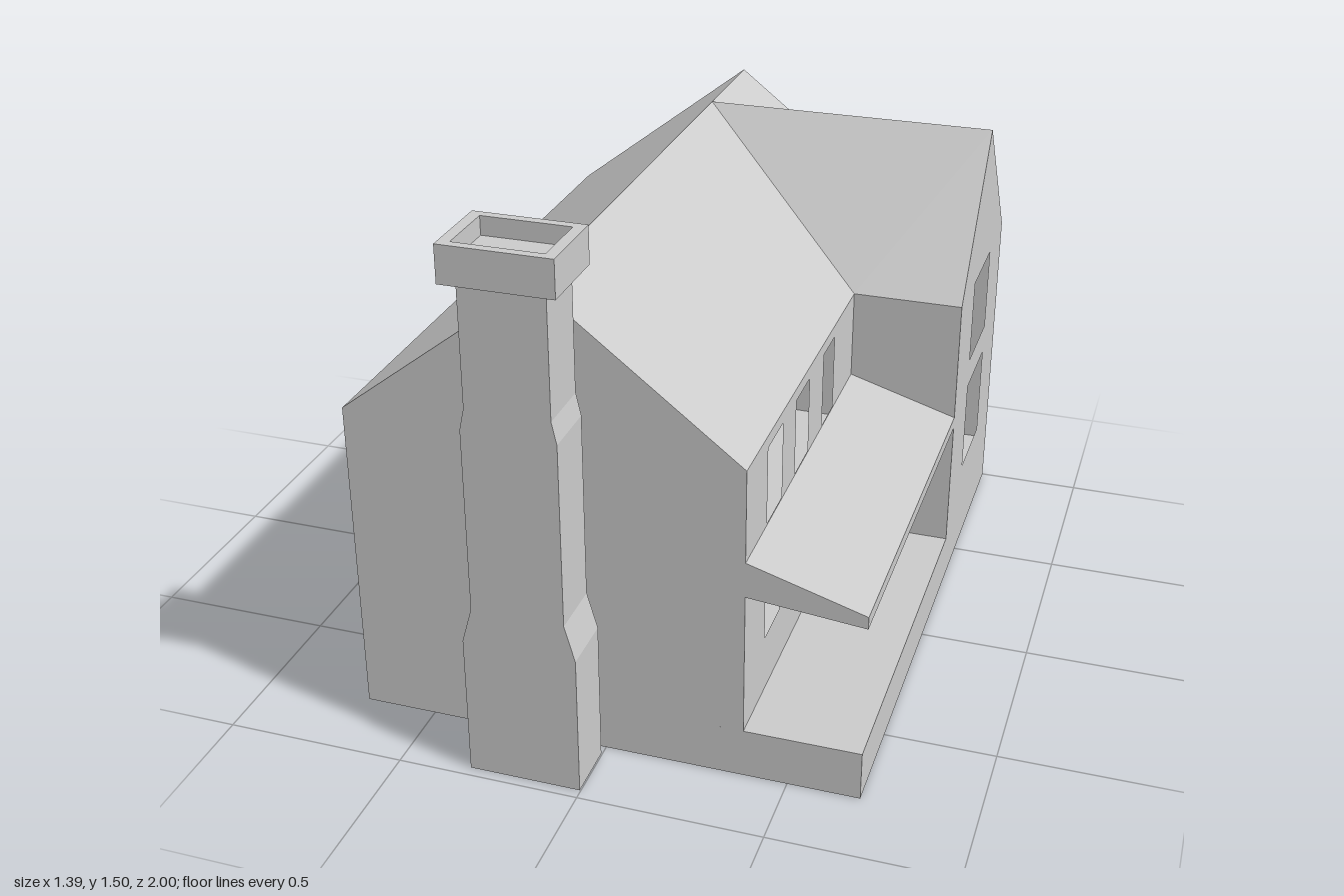
import * as THREE from 'three';

const BASE = 0.14, EAVE = 0.91, RIDGE = 1.33;         // heights
const W = -0.7, MID = -0.16, E = 0.38, WING = 0.695;  // x of outer wall, main ridge, porch wall, wing end
const BACK = -1, WRIDGE = -0.66, WFRONT = -0.32, FRONT = 0.78; // z of back, wing ridge, wing front, house front

const thin = new THREE.MeshStandardMaterial({ color: 0xcccccc, flatShading: true, side: THREE.DoubleSide });
const solid = new THREE.MeshStandardMaterial({ color: 0xcccccc, flatShading: true });

const rect = (a, b, c, d) => [[a, c], [b, c], [b, d], [a, d]];
const toVecs = (pts) => pts.map(([u, v]) => new THREE.Vector2(u, v));

export function createModel() {
  const house = new THREE.Group();
  house.name = 'house';

  const add = (name, geometry, material = solid, parent = house) => {
    const mesh = new THREE.Mesh(geometry, material);
    mesh.name = name;
    parent.add(mesh);
    return mesh;
  };

  // Flat outline with openings, placed in space by a mapping rule
  const panel = (name, outline, place, holes = []) => {
    const shape = new THREE.Shape(toVecs(outline));
    holes.forEach((h) => shape.holes.push(new THREE.Path(toVecs(h))));
    const geo = new THREE.ShapeGeometry(shape);
    const pos = geo.attributes.position;
    for (let i = 0; i < pos.count; i++) pos.setXYZ(i, ...place(pos.getX(i), pos.getY(i)));
    geo.computeVertexNormals();
    return add(name, geo, thin);
  };
  const facingFront = (z) => (u, v) => [u, v, z];
  const facingBack = (z) => (u, v) => [-u, v, z];
  const facingPlusX = (x) => (u, v) => [x, v, -u];
  const facingMinusX = (x) => (u, v) => [x, v, u];

  // Foundation, also the indoor floor and the porch deck
  const foundation = add('foundation', new THREE.BoxGeometry(WING - W, BASE, FRONT - BACK));
  foundation.position.set((W + WING) / 2, BASE / 2, (FRONT + BACK) / 2);

  // Walls without openings
  panel('frontGableWall', [[W, BASE], [E, BASE], [E, EAVE], [MID, RIDGE], [W, EAVE]], facingFront(FRONT));
  panel('backWall', [[-WING, BASE], [-W, BASE], [-W, EAVE], [-MID, RIDGE], [-E, EAVE], [-WING, EAVE]],
    facingBack(BACK));
  panel('plainSideWall', rect(BACK, FRONT, BASE, EAVE), facingMinusX(W));
  panel('wingFrontWall', rect(E, WING, BASE, EAVE), facingFront(WFRONT));

  // Porch wall: three windows above, two windows and a door below
  const porchOpenings = [rect(-0.055, 0.135, 0.18, 0.525)];
  [[-0.59, -0.45], [-0.32, -0.185], [-0.03, 0.09]].forEach(([a, b], i) => {
    porchOpenings.push(rect(a, b, 0.655, 0.875));
    if (i < 2) porchOpenings.push(rect(a, b, 0.305, 0.525));
  });
  panel('porchWall', rect(-FRONT, -WFRONT, BASE, EAVE), facingPlusX(E), porchOpenings);

  // Wing gable with two windows
  panel('wingGableWall',
    [[-WFRONT, BASE], [-BACK, BASE], [-BACK, EAVE], [-WRIDGE, RIDGE], [-WFRONT, EAVE]],
    facingPlusX(WING),
    [rect(0.535, 0.785, 0.645, 0.895), rect(0.535, 0.785, 0.28, 0.555)]);

  // Roof slopes, drawn in plan as (x, -z) and lifted by their pitch
  const rise = RIDGE - EAVE;
  const mainRoof = (half) => (u, v) => [u, RIDGE - rise * Math.abs(u - MID) / half, -v];
  const wingRoof = (u, v) => [u, RIDGE - rise * Math.abs(-v - WRIDGE) / (WFRONT - WRIDGE), -v];
  panel('plainRoofSlope', rect(W, MID, -FRONT, -BACK), mainRoof(MID - W));
  panel('porchRoofSlope', [[MID, -FRONT], [E, -FRONT], [E, -WFRONT], [MID, -WRIDGE]], mainRoof(E - MID));
  panel('backRoofSlope', [[MID, -WRIDGE], [E, -BACK], [MID, -BACK]], mainRoof(E - MID));
  for (const [name, z] of [['wingFrontRoof', WFRONT], ['wingBackRoof', BACK]]) {
    panel(name, [[MID, -WRIDGE], [WING, -WRIDGE], [WING, -z], [E, -z]], wingRoof);
  }

  // Sloping porch canopy
  const canopy = new THREE.Shape(toVecs([[E, 0.55], [WING, 0.52], [WING, 0.555], [E, 0.65]]));
  add('porchCanopy', new THREE.ExtrudeGeometry(canopy, { depth: FRONT - WFRONT, bevelEnabled: false }))
    .position.z = WFRONT;

  // Chimney: stepped stack and hollow cap
  const chimney = new THREE.Group();
  chimney.name = 'chimney';
  chimney.position.x = -0.156;
  house.add(chimney);
  const side = [[0.153, 0], [0.153, 0.4], [0.125, 0.5], [0.125, 1.01], [0.112, 1.07], [0.112, 1.42]];
  const mirrored = side.map(([x, y]) => [-x, y]).reverse();
  add('chimneyStack', new THREE.ExtrudeGeometry(new THREE.Shape(toVecs([...side, ...mirrored])),
    { depth: 0.16, bevelEnabled: false }), solid, chimney).position.z = 0.81;

  const capShape = new THREE.Shape(toVecs(rect(-0.147, 0.147, -0.108, 0.108)));
  capShape.holes.push(new THREE.Path(toVecs(rect(-0.117, 0.117, -0.084, 0.084))));
  const capRim = add('chimneyCapRim', new THREE.ExtrudeGeometry(capShape, { depth: 0.05, bevelEnabled: false })
    .rotateX(-Math.PI / 2), solid, chimney);
  capRim.position.set(0, 1.45, 0.892);
  add('chimneyCapBase', new THREE.BoxGeometry(0.294, 0.05, 0.216), solid, chimney)
    .position.set(0, 1.425, 0.892);

  return house;
}
